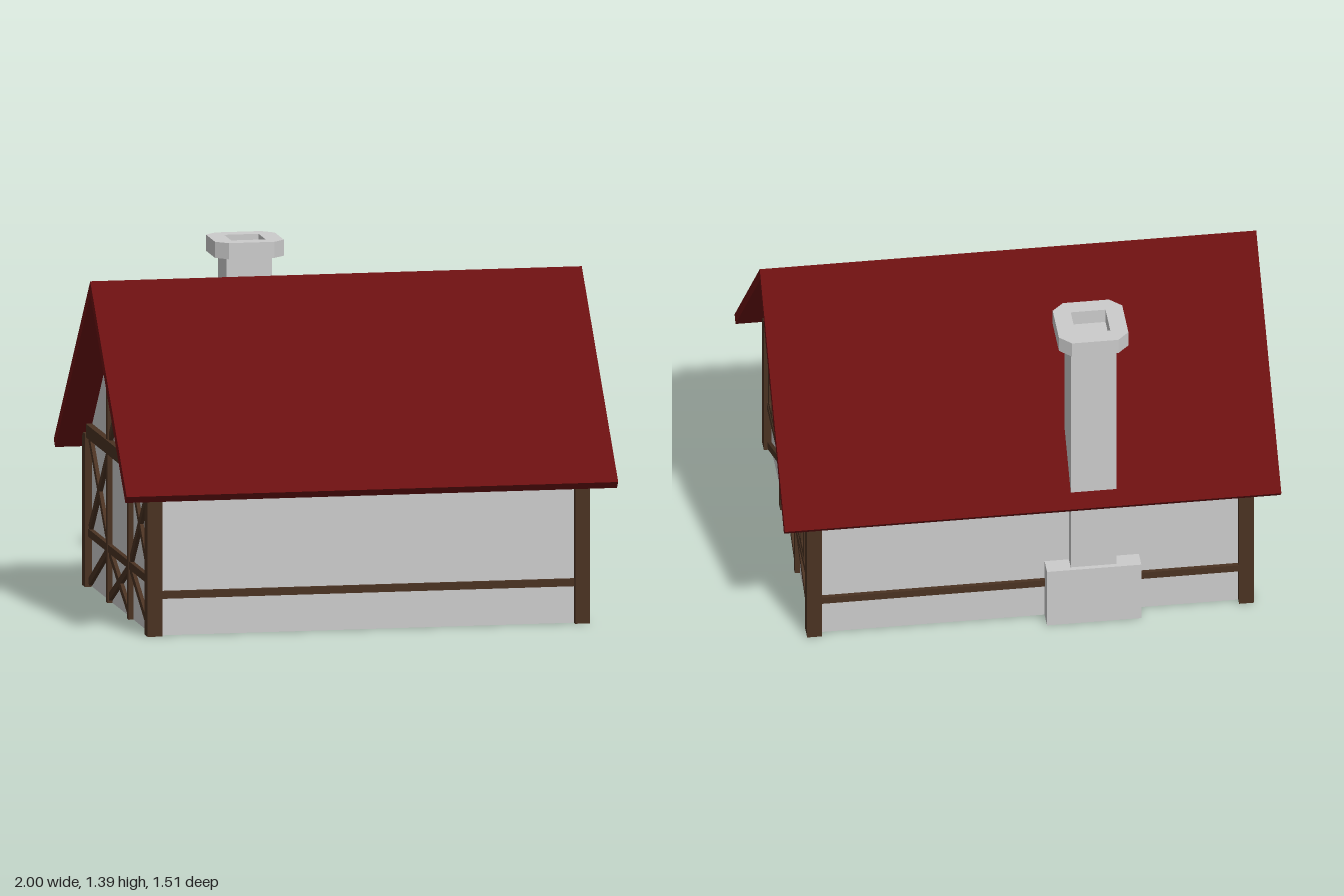
import * as THREE from 'three';

const mat = (color) => new THREE.MeshStandardMaterial({ color, flatShading: true });

export function createModel() {
  const house = new THREE.Group();
  const plaster = mat(0xcccccc), stone = mat(0xcccccc);
  const timber = mat(0x4a3222), tile = mat(0x6a0f10), glass = mat(0xe6ca86);

  const add = (parent, name, geometry, material, x = 0, y = 0, z = 0) => {
    const mesh = new THREE.Mesh(geometry, material);
    mesh.name = name;
    mesh.position.set(x, y, z);
    parent.add(mesh);
    return mesh;
  };
  // Box given by its minimum and maximum corners
  const block = (parent, name, material, a, b) => add(parent, name,
    new THREE.BoxGeometry(b[0] - a[0], b[1] - a[1], b[2] - a[2]), material,
    (a[0] + b[0]) / 2, (a[1] + b[1]) / 2, (a[2] + b[2]) / 2);
  const polygon = (points) => new THREE.Shape(points.map(([x, y]) => new THREE.Vector2(x, y)));
  const rect = (x, y, w, h) => [[x - w / 2, y - h / 2], [x + w / 2, y - h / 2], [x + w / 2, y + h / 2], [x - w / 2, y + h / 2]];
  const extrude = (shape, depth) => new THREE.ExtrudeGeometry(shape, { depth, bevelEnabled: false });

  const WX = 0.87, WZ = 0.65, T = 0.03, PEAK = 1.279;

  // Roof: one folded slab running along x
  const roofShape = polygon([[0, 1.335], [-0.755, 0.58], [-0.727, 0.552], [0, PEAK], [0.727, 0.552], [0.755, 0.58]]);
  const roofGeometry = extrude(roofShape, 2);
  roofGeometry.translate(0, 0, -1).rotateY(Math.PI / 2);
  add(house, 'roof', roofGeometry, tile);

  // Long walls, their rails and the corner posts
  for (const s of [1, -1]) {
    const side = s > 0 ? 'front' : 'back';
    add(house, side + 'Wall', new THREE.BoxGeometry(2 * WX, PEAK - WZ, T), plaster, 0, (PEAK - WZ) / 2, s * (WZ - T / 2));
    add(house, side + 'Rail', new THREE.BoxGeometry(1.68, 0.03, 0.03), timber, 0, 0.165, s * (WZ + 0.002));
    for (const e of [1, -1])
      add(house, side + 'CornerPost', new THREE.BoxGeometry(0.06, 0.62, 0.06), timber, e * 0.87, 0.31, s * 0.65);
  }

  // Timber between two points of a gable, lying on the wall face
  const beam = (gable, name, [x1, y1], [x2, y2], width, out = 0.018) => {
    const length = Math.hypot(x2 - x1, y2 - y1);
    const mesh = add(gable, name, new THREE.BoxGeometry(length, width, out + 0.01), timber,
      (x1 + x2) / 2, (y1 + y2) / 2, WX + (out - 0.01) / 2);
    mesh.rotation.z = Math.atan2(y2 - y1, x2 - x1);
  };

  // Window: frame with four openings and a glowing pane behind
  const addWindow = (gable, x, y) => {
    const win = new THREE.Group();
    win.name = 'window';
    win.position.set(x, y, WX);
    const frame = polygon(rect(0, 0, 0.216, 0.27));
    for (const i of [-1, 1]) for (const j of [-1, 1])
      frame.holes.push(new THREE.Path(rect(i * 0.044, j * 0.058, 0.07, 0.098).map(([u, v]) => new THREE.Vector2(u, v))));
    add(win, 'windowFrame', extrude(frame, 0.024), timber);
    add(win, 'windowPane', new THREE.BoxGeometry(0.17, 0.22, 0.008), glass, 0, 0, 0.004);
    gable.add(win);
  };

  // Gable ends, drawn facing +z and then turned to +x or -x
  for (const s of [1, -1]) {
    const gable = new THREE.Group();
    gable.name = s > 0 ? 'leftGable' : 'rightGable';
    gable.rotation.y = s * Math.PI / 2;
    house.add(gable);

    const wall = polygon([[-WZ, 0], [WZ, 0], [WZ, PEAK - WZ], [0, PEAK], [-WZ, PEAK - WZ]]);
    add(gable, 'gableWall', extrude(wall, T), plaster, 0, 0, WX - T);

    beam(gable, 'tieBeam', [-0.62, 0.632], [0.62, 0.632], 0.055, 0.026);
    beam(gable, 'lowerRail', [-0.62, 0.22], [0.62, 0.22], 0.032);
    beam(gable, 'collarBeam', [-0.2, 1.088], [0.2, 1.088], 0.034);
    for (const m of [1, -1]) {
      beam(gable, 'stud', [m * 0.218, 0], [m * 0.218, 1.06], 0.034, 0.02);
      beam(gable, 'lowerBrace', [m * 0.62, 0.02], [m * 0.23, 0.21], 0.03, 0.015);
      beam(gable, 'crossBrace', [m * 0.2, 0.205], [m * -0.2, 0.025], 0.03, 0.015);
    }

    if (s > 0) {
      addWindow(gable, -0.435, 0.415);
      addWindow(gable, 0.435, 0.415);
      addWindow(gable, 0, 0.87);
    } else {
      // Windowless end with crossed braces in the panels
      for (const m of [1, -1]) {
        beam(gable, 'panelBrace', [m * 0.61, 0.24], [m * 0.235, 0.6], 0.03, 0.015);
        beam(gable, 'panelBrace', [m * 0.61, 0.6], [m * 0.235, 0.24], 0.03, 0.015);
        beam(gable, 'upperBrace', [m * 0.2, 0.665], [m * -0.2, 1.065], 0.03, 0.015);
      }
    }
  }

  // Chimney: hearth block, square shaft and an eight-sided hollow cap
  const chimney = new THREE.Group();
  chimney.name = 'chimney';
  house.add(chimney);
  block(chimney, 'chimneyBase', stone, [-0.44, 0, -0.725], [-0.06, 0.262, -0.5]);
  block(chimney, 'chimneyShaft', stone, [-0.342, 0.2, -0.706], [-0.158, 1.335, -0.524]);
  const r = 0.14, c = 0.093;
  const cap = polygon([[r, -c], [r, c], [c, r], [-c, r], [-r, c], [-r, -c], [-c, -r], [c, -r]]);
  cap.holes.push(new THREE.Path(rect(0, 0, 0.14, 0.145).map(([u, v]) => new THREE.Vector2(u, v))));
  add(chimney, 'chimneyCap', extrude(cap, 0.065).rotateX(-Math.PI / 2), stone, -0.25, 1.33, -0.615);

  return house;
}
